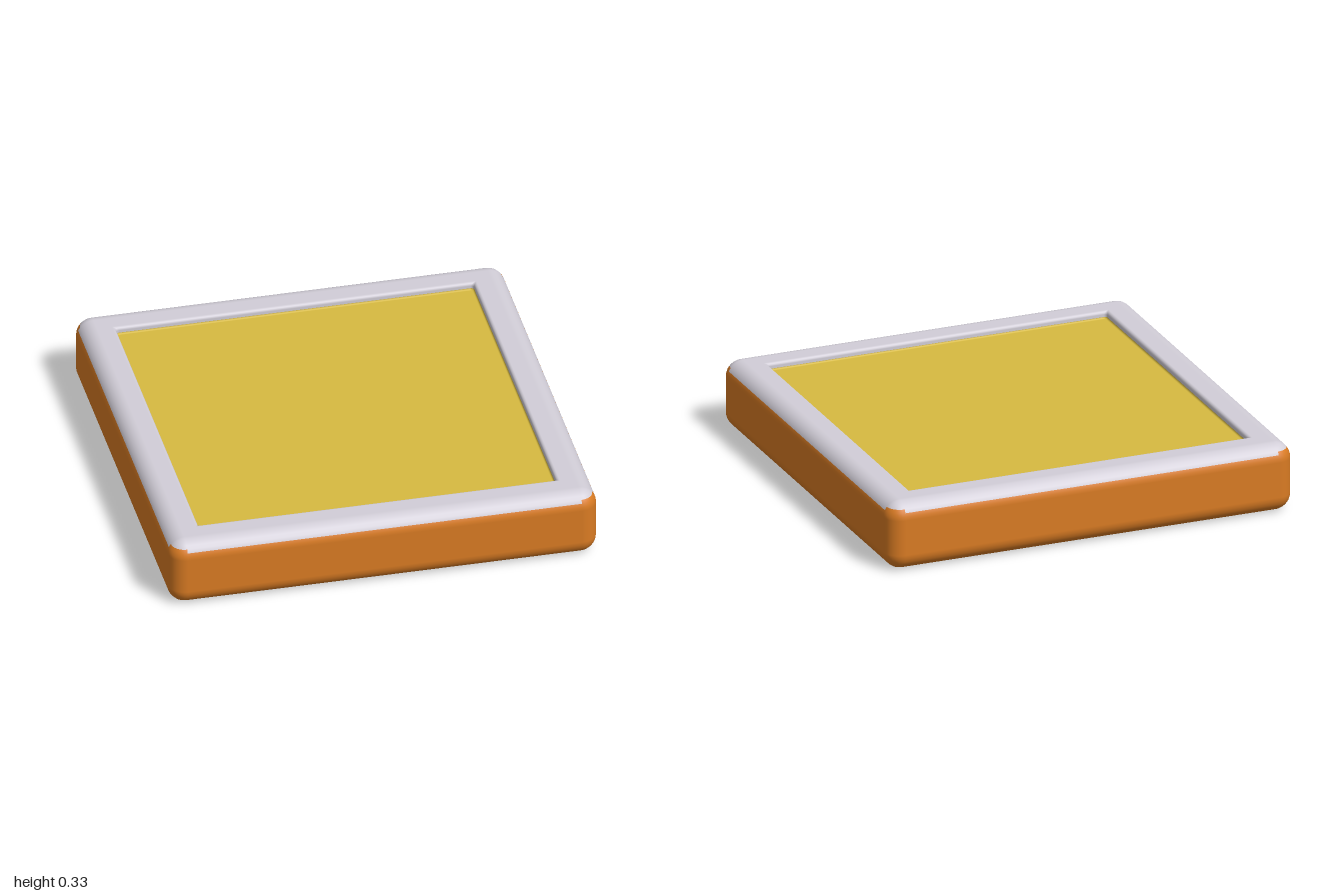
import * as THREE from 'three';

const H = 0.33, R = 0.08, ARC = 7, CORNER = 8;
const PANEL_Y = 0.295, LIP = 0.015, FILLET = 0.008;

const orange = new THREE.MeshStandardMaterial({ name: 'orange', color: 0xd97b23 });
const silver = new THREE.MeshStandardMaterial({ name: 'silver', color: 0xd2ced8 });
const yellow = new THREE.MeshStandardMaterial({ name: 'yellow', color: 0xd7ba40 });

// Cross-section from the middle of the base, round the rim, into the tray.
// Each station: inset from the outside, height, plan corner radius, outward and upward normal.
function buildProfile() {
  const rows = [];
  const add = (inset, y, r, out, up) => rows.push({ inset, y, r, out, up });
  // adds a quarter round centred on (ci, cy), side = -1 for a hollow fillet
  const round = (ci, cy, rad, from, to, steps, corner, side = 1) => {
    for (let i = 0; i <= steps; i++) {
      const a = from + (to - from) * i / steps, c = Math.cos(a), s = Math.sin(a);
      add(ci - c * rad, cy + s * rad, corner(c, i / steps), side * c, side * s);
    }
  };
  const q = Math.PI / 2;
  add(1, 0, 0, 0, -1);
  round(R, R, R, -q, 0, ARC, c => R * c);
  const sideStart = rows.length;
  round(R, H - R, R, 0, q, ARC, c => R * c);
  round(0.15, H - LIP, LIP, q, 2 * q, 4, (c, t) => 0.002 + 0.013 * t);
  const wallEnd = rows.length;
  round(0.165 + FILLET, PANEL_Y + FILLET, FILLET, 0, -q, 3, () => 0.015, -1);
  add(1, PANEL_Y, 0, 0, 1);
  return { rows, sideStart, wallEnd };
}

export function createModel() {
  const { rows, sideStart, wallEnd } = buildProfile();
  const position = [], normal = [];
  const ring = 4 * (CORNER + 1);

  // Rounded-square loop for every station
  for (const { inset, y, r, out, up } of rows) {
    for (let k = 0; k < 4; k++) {
      const mid = (k + 0.5) * Math.PI / 2;
      const cx = Math.sign(Math.cos(mid)) * (1 - inset - r);
      const cz = Math.sign(Math.sin(mid)) * (1 - inset - r);
      for (let j = 0; j <= CORNER; j++) {
        const a = (k + j / CORNER) * Math.PI / 2, c = Math.cos(a), s = Math.sin(a);
        position.push(cx + c * r, y, cz + s * r);
        normal.push(c * out, up, s * out);
      }
    }
  }

  // Share the strips out to the parts; the body climbs a step higher at its corners
  const body = [], frame = [], panel = [];
  for (let i = 0; i < rows.length - 1; i++) {
    for (let j = 0; j < ring; j++) {
      const isCorner = j % (CORNER + 1) < CORNER;
      const bodyTop = sideStart + (isCorner ? 3 : 2);
      const part = i < bodyTop ? body : i < wallEnd ? frame : panel;
      const n = (j + 1) % ring;
      const a = i * ring + j, b = i * ring + n, c = b + ring, d = a + ring;
      part.push(a, d, c, a, c, b);
    }
  }

  const group = new THREE.Group();
  group.name = 'framedTile';
  const positions = new THREE.Float32BufferAttribute(position, 3);
  const normals = new THREE.Float32BufferAttribute(normal, 3);
  for (const [name, index, material] of [
    ['body', body, orange], ['topFrame', frame, silver], ['recessedPanel', panel, yellow],
  ]) {
    const geometry = new THREE.BufferGeometry();
    geometry.setAttribute('position', positions);
    geometry.setAttribute('normal', normals);
    geometry.setIndex(index);
    const mesh = new THREE.Mesh(geometry, material);
    mesh.name = name;
    group.add(mesh);
  }
  return group;
}
